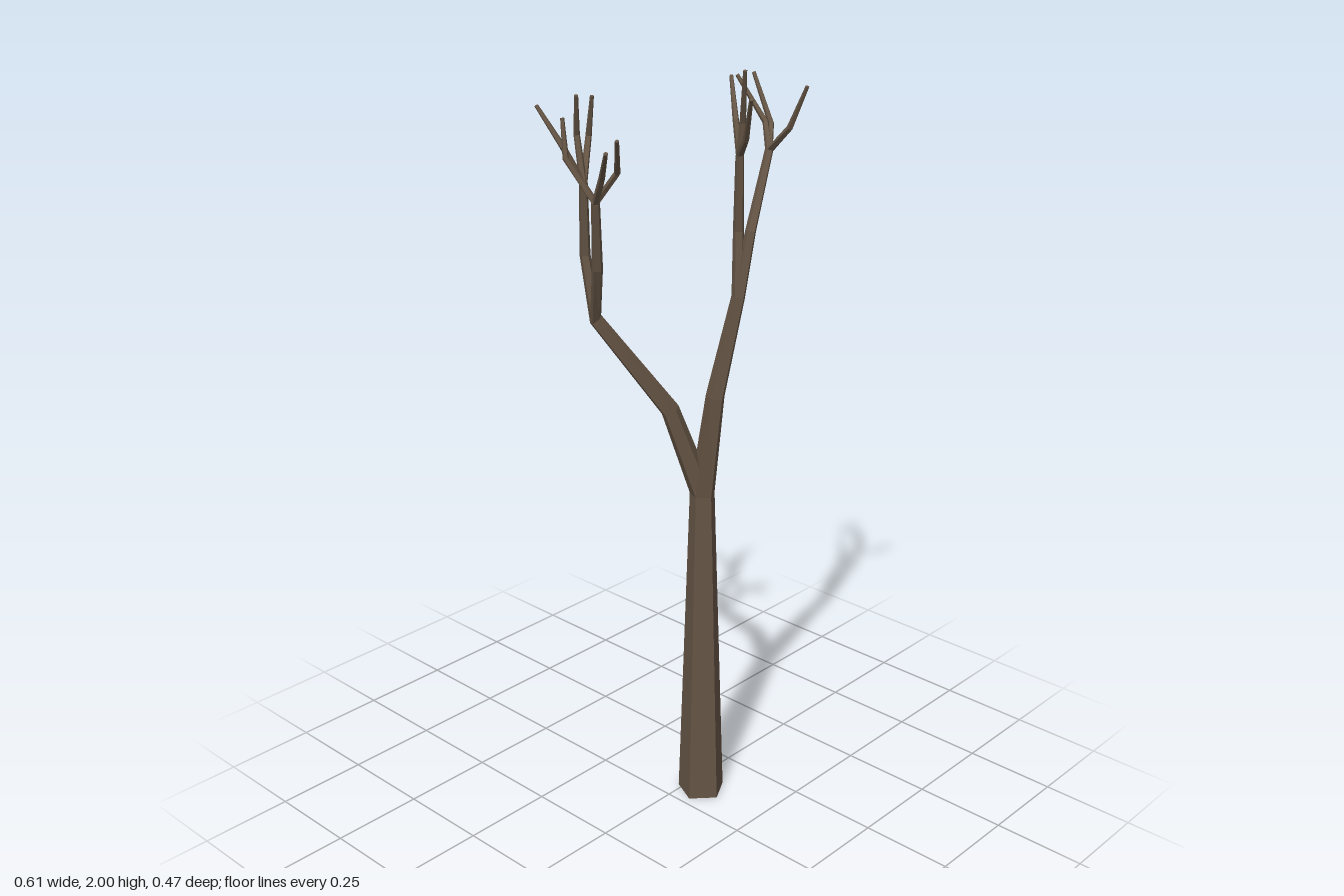
import * as THREE from 'three';

const SIDES = 5;
const UP = new THREE.Vector3(0, 1, 0);

// Five-sided ring of points around centre, facing along dir
function makeRing(centre, radius, dir) {
  const q = new THREE.Quaternion().setFromUnitVectors(UP, dir);
  return Array.from({ length: SIDES }, (_, i) => {
    const a = THREE.MathUtils.degToRad(25 + (i * 360) / SIDES);
    return new THREE.Vector3(Math.cos(a) * radius, 0, Math.sin(a) * radius)
      .applyQuaternion(q).add(centre);
  });
}

// Tapered limb through the points; it starts facing startDir and is capped at both ends
function limbGeometry(points, radii, startDir) {
  const last = points.length - 1;
  const step = (i) => points[i + 1].clone().sub(points[i]).normalize();
  const rings = points.map((p, i) => {
    let dir = startDir;
    if (i === last) dir = step(i - 1);
    else if (i > 0) dir = step(i - 1).add(step(i)).normalize();
    return makeRing(p, radii[i], dir);
  });
  const verts = [];
  const tri = (...corners) => corners.forEach((v) => verts.push(v.x, v.y, v.z));
  for (let s = 0; s < SIDES; s++) {
    const n = (s + 1) % SIDES;
    for (let i = 0; i < last; i++) {
      const b = rings[i], t = rings[i + 1];
      tri(b[s], t[s], t[n]);
      tri(b[s], t[n], b[n]);
    }
    tri(points[0], rings[0][s], rings[0][n]);
    tri(points[last], rings[last][n], rings[last][s]);
  }
  const geometry = new THREE.BufferGeometry();
  geometry.setAttribute('position', new THREE.Float32BufferAttribute(verts, 3));
  geometry.computeVertexNormals();
  return geometry;
}

export function createModel() {
  const tree = new THREE.Group();
  tree.name = 'bareTree';
  const bark = new THREE.MeshStandardMaterial({ color: 0x655545, flatShading: true });
  bark.name = 'bark';

  // Radii at the start, bend and end of each generation of limb
  const RADII = {
    trunk: [0.065, 0.034],
    branch: [0.034, 0.025, 0.018],
    bough: [0.018, 0.014, 0.011],
    twig: [0.010, 0.008, 0.005],
  };

  // Adds a limb growing from parent and returns where and which way it ends
  function grow(kind, name, parent, ...coords) {
    const points = [parent.end, ...coords.map((c) => new THREE.Vector3(...c))];
    const mesh = new THREE.Mesh(limbGeometry(points, RADII[kind], parent.dir), bark);
    mesh.name = name;
    tree.add(mesh);
    const end = points[points.length - 1];
    return { end, dir: end.clone().sub(points[points.length - 2]).normalize() };
  }
  const growTwigs = (parent, name, list) =>
    list.forEach(([bend, tip], i) => grow('twig', `${name}Twig${i + 1}`, parent, bend, tip));

  // Trunk
  const root = { end: new THREE.Vector3(0.086, 0, 0.043), dir: UP };
  const trunk = grow('trunk', 'trunk', root, [0.084, 0.9, 0.04]);

  // Right branch, leaning back, with two boughs
  const right = grow('branch', 'rightBranch', trunk, [0.01, 1.14, -0.005], [-0.135, 1.39, -0.12]);
  const rightOuter = grow('bough', 'rightOuterBough', right, [-0.18, 1.54, -0.065], [-0.212, 1.71, -0.035]);
  growTwigs(rightOuter, 'rightOuter', [
    [[-0.238, 1.78, 0.013], [-0.3, 1.86, 0.09]],
    [[-0.205, 1.79, 0.03], [-0.258, 1.88, 0.083]],
    [[-0.242, 1.81, -0.1], [-0.233, 1.9, -0.118]],
  ]);
  const rightInner = grow('bough', 'rightInnerBough', right, [-0.14, 1.55, -0.148], [-0.155, 1.73, -0.133]);
  growTwigs(rightInner, 'rightInner', [
    [[-0.19, 1.82, -0.165], [-0.21, 1.91, -0.23]],
    [[-0.142, 1.84, -0.166], [-0.17, 1.94, -0.136]],
    [[-0.099, 1.83, -0.17], [-0.112, 1.93, -0.143]],
  ]);

  // Left branch, leaning forward, with two boughs
  const left = grow('branch', 'leftBranch', trunk, [0.085, 1.18, 0.08], [0.123, 1.44, 0.118]);
  const leftInner = grow('bough', 'leftInnerBough', left, [0.14, 1.6, 0.1], [0.122, 1.79, 0.116]);
  growTwigs(leftInner, 'leftInner', [
    [[0.082, 1.84, 0.168], [0.028, 1.95, 0.228]],
    [[0.135, 1.87, 0.09], [0.203, 1.955, 0.015]],
    [[0.12, 1.87, 0.125], [0.082, 2.0, 0.162]],
  ]);
  const leftOuter = grow('bough', 'leftOuterBough', left, [0.155, 1.6, 0.126], [0.244, 1.78, 0.104]);
  growTwigs(leftOuter, 'leftOuter', [
    [[0.243, 1.845, 0.168], [0.24, 1.95, 0.22]],
    [[0.275, 1.84, 0.065], [0.263, 1.945, -0.018]],
    [[0.29, 1.835, 0.07], [0.298, 1.95, 0.005]],
  ]);

  return tree;
}
